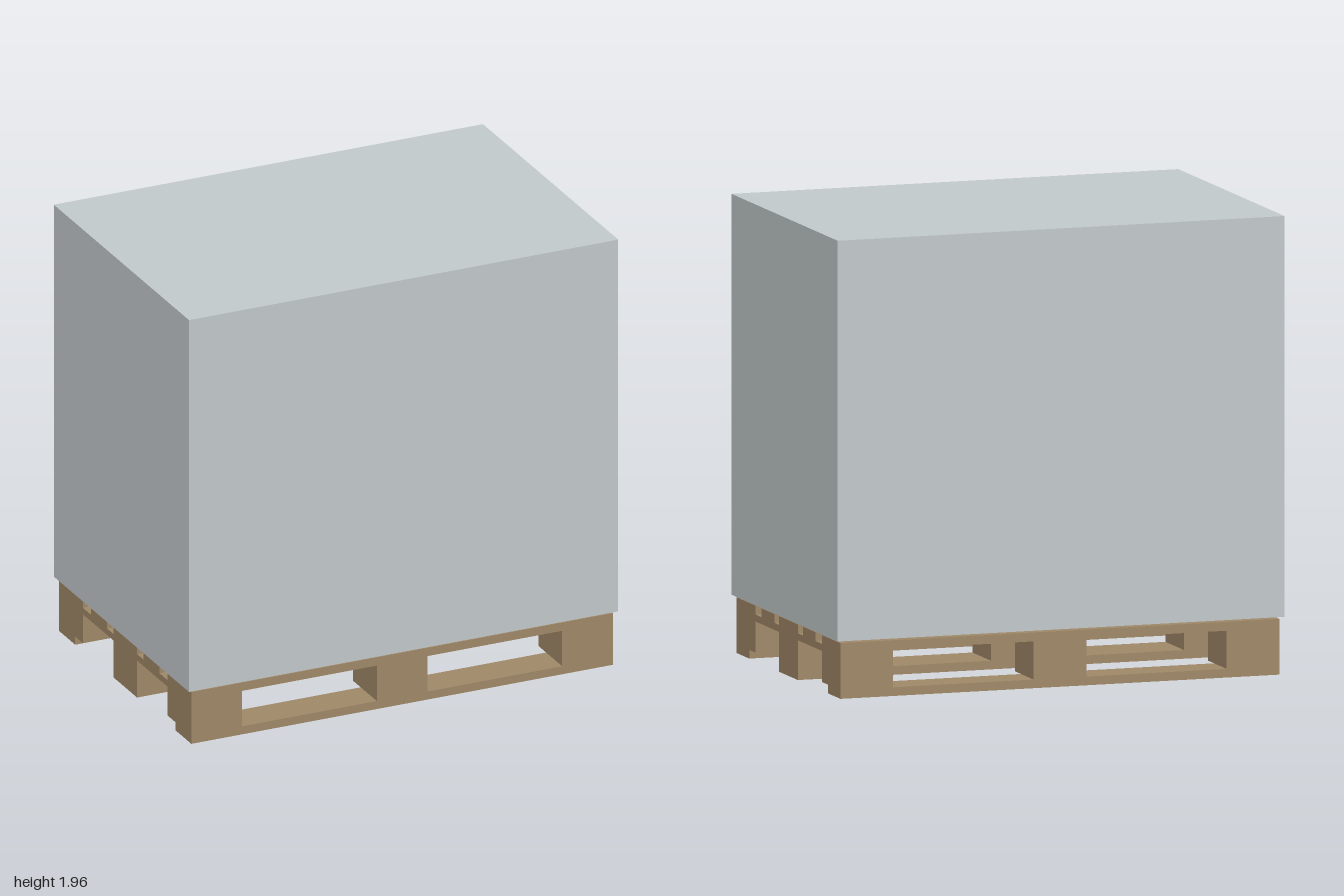
import * as THREE from 'three';

export function createModel() {
  const model = new THREE.Group();
  model.name = 'loadedPallet';
  const wood = new THREE.MeshStandardMaterial({ color: 0xa08868 });
  const card = new THREE.MeshStandardMaterial({ color: 0xc2c9cb });

  // Box given by its centre in x and z, its bottom and top, and its width and depth
  function slab(parent, name, material, x, z, y0, y1, w, d) {
    const mesh = new THREE.Mesh(new THREE.BoxGeometry(w, y1 - y0, d), material);
    mesh.name = name;
    mesh.position.set(x, (y0 + y1) / 2, z);
    parent.add(mesh);
  }

  const pallet = new THREE.Group();
  pallet.name = 'pallet';
  model.add(pallet);

  const length = 1.964, depth = 1.314;
  const wide = 0.236, narrow = 0.16;
  const edgeX = (length - wide) / 2;
  const edgeZ = (depth - wide) / 2;

  // Top deck: three wide boards with two narrow ones between them
  for (const z of [-edgeZ, 0, edgeZ])
    slab(pallet, 'wideDeckBoard', wood, 0, z, 0.2, 0.238, length, wide);
  for (const z of [-0.26, 0.26])
    slab(pallet, 'narrowDeckBoard', wood, 0, z, 0.2, 0.238, length, narrow);

  // Cross boards under the deck, each on three blocks
  for (const x of [-edgeX, 0, edgeX]) {
    slab(pallet, 'crossBoard', wood, x, 0, 0.17, 0.2, wide, depth);
    for (const z of [-edgeZ, 0, edgeZ])
      slab(pallet, 'block', wood, x, z, 0.037, 0.17, wide, wide);
  }

  // Bottom runners: narrow at front and back, wide in the middle
  slab(pallet, 'middleRunner', wood, 0, 0, 0, 0.037, length, wide);
  for (const s of [-1, 1])
    slab(pallet, 'outerRunner', wood, 0, s * (depth - narrow) / 2, 0, 0.037, length, narrow);

  // Load, with two shallow panels on its underside
  slab(model, 'load', card, 0, 0, 0.248, 1.96, 2, 1.344);
  for (const s of [-1, 1])
    slab(model, 'bottomPanel', card, s * 0.495, 0, 0.244, 0.25, 0.89, 1.2);

  return model;
}
